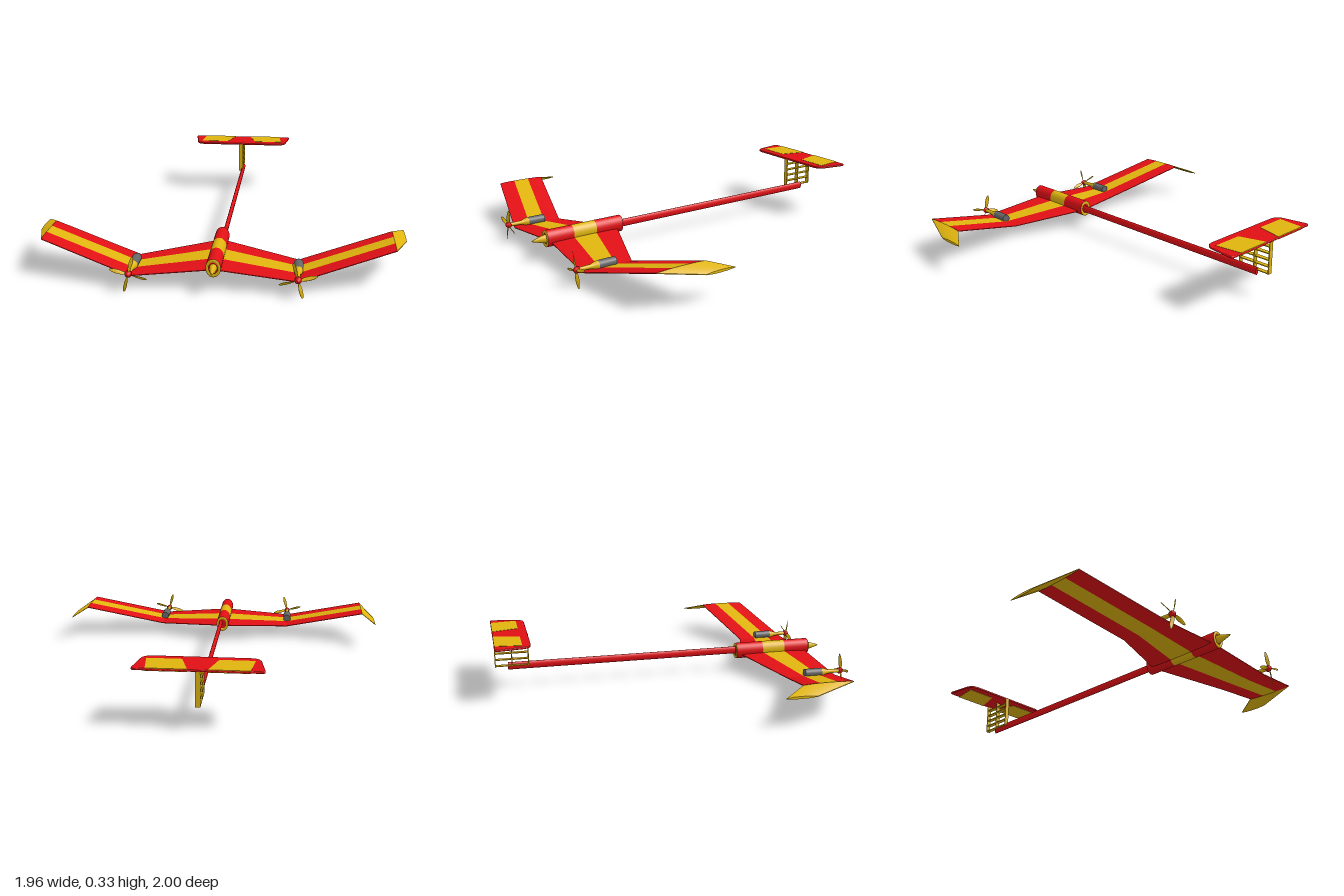
import * as THREE from 'three';

const material = (color) => new THREE.MeshStandardMaterial({ color, side: THREE.DoubleSide });
const red = material(0xe01015), yellow = material(0xdfb40e), grey = material(0x666666);

function add(parent, name, geometry, mat, x = 0, y = 0, z = 0) {
  const mesh = new THREE.Mesh(geometry, mat);
  mesh.name = name;
  mesh.position.set(x, y, z);
  parent.add(mesh);
  return mesh;
}

// Turned part along z; profile is [z, radius] from rear to front
function turned(profile, sides = 32) {
  const points = profile.map(([z, r]) => new THREE.Vector2(r, z));
  return new THREE.LatheGeometry(points, sides).rotateX(Math.PI / 2);
}

// Wing stations from root to tip: leading and trailing edge depth
const stations = [
  { x: 0, y: 0.112, le: 0.893, te: 0.475 },
  { x: 0.42, y: 0.073, le: 0.915, te: 0.63 },
  { x: 0.905, y: 0.203, le: 0.79, te: 0.51 },
  { x: 0.98, y: 0.168, le: 0.56, te: 0.39 },
];

// Thin lens-section panel between two stations, covering chord fractions f0..f1
function wingPanel(a, b, side, f0, f1) {
  const geometry = new THREE.BoxGeometry(1, 1, 1, 1, 1, 4);
  const p = geometry.attributes.position;
  const lerp = THREE.MathUtils.lerp;
  for (let i = 0; i < p.count; i++) {
    const u = 0.5 + side * p.getX(i);
    const f = lerp(f0, f1, p.getZ(i) + 0.5);
    const thickness = 0.004 + 0.01 * Math.sqrt(Math.max(0, 4 * f * (1 - f)));
    p.setXYZ(i,
      side * lerp(a.x, b.x, u),
      lerp(a.y, b.y, u) + p.getY(i) * thickness,
      lerp(lerp(a.te, b.te, u), lerp(a.le, b.le, u), f));
  }
  geometry.computeVertexNormals();
  return geometry;
}

function wing(side) {
  const group = new THREE.Group();
  group.name = side > 0 ? 'leftWing' : 'rightWing';
  for (let i = 0; i < 2; i++) {
    for (let k = 0; k < 3; k++) {
      add(group, k === 1 ? 'wingStripe' : 'wingPanel',
        wingPanel(stations[i], stations[i + 1], side, k / 3, (k + 1) / 3), k === 1 ? yellow : red);
    }
  }
  add(group, 'wingTip', wingPanel(stations[2], stations[3], side, 0, 1), yellow);
  return group;
}

// Twisted leaf-shaped propeller blade pointing up
function bladeGeometry(side) {
  const geometry = new THREE.SphereGeometry(1, 12, 12);
  const p = geometry.attributes.position;
  for (let i = 0; i < p.count; i++) {
    const t = (p.getY(i) + 1) / 2;
    const angle = side * (1.0 - 0.7 * t);
    const w = p.getX(i) * 0.011, d = p.getZ(i) * 0.002;
    p.setXYZ(i, w * Math.cos(angle) - d * Math.sin(angle), 0.008 + t * 0.089,
      w * Math.sin(angle) + d * Math.cos(angle));
  }
  geometry.computeVertexNormals();
  return geometry;
}

function engine(side) {
  const group = new THREE.Group();
  group.name = side > 0 ? 'leftEngine' : 'rightEngine';
  group.position.set(side * 0.42, 0.097, 0);
  add(group, 'motor', turned([[0.73, 0.024], [0.83, 0.024]]), grey);
  add(group, 'motorBack', turned([[0.73, 0], [0.73, 0.024]]), grey);
  add(group, 'motorCowl', turned([[0.83, 0.024], [0.845, 0.021], [0.87, 0.012], [0.945, 0.01]]), yellow);
  add(group, 'spinner', turned([[0.938, 0], [0.94, 0.018], [0.955, 0.017], [0.965, 0.009], [0.97, 0]]), red);
  const propeller = new THREE.Group();
  propeller.name = 'propeller';
  propeller.position.z = 0.954;
  propeller.rotation.z = side * 0.26;
  for (let i = 0; i < 4; i++) {
    add(propeller, 'blade', bladeGeometry(side), yellow).rotation.z = i * Math.PI / 2;
  }
  group.add(propeller);
  return group;
}

// Flat plate outlined in x and z, with its top face at the given height
function plate(shape, depth, top, bevel = 0) {
  return new THREE.ExtrudeGeometry(shape, {
    depth: depth - 2 * bevel, bevelEnabled: bevel > 0, bevelThickness: bevel,
    bevelSize: bevel, bevelOffset: -bevel, bevelSegments: 3, curveSegments: 8,
  }).rotateX(Math.PI / 2).translate(0, top - bevel, 0);
}

function tail() {
  const group = new THREE.Group();
  group.name = 'tail';
  // Horizontal stabiliser with rounded front corners
  const s = new THREE.Shape();
  s.moveTo(-0.31, -1);
  s.lineTo(0.31, -1);
  s.quadraticCurveTo(0.326, -1, 0.324, -0.98);
  s.lineTo(0.303, -0.85);
  s.quadraticCurveTo(0.295, -0.803, 0.24, -0.803);
  s.lineTo(-0.24, -0.803);
  s.quadraticCurveTo(-0.295, -0.803, -0.303, -0.85);
  s.lineTo(-0.324, -0.98);
  s.quadraticCurveTo(-0.326, -1, -0.31, -1);
  add(group, 'stabiliser', plate(s, 0.012, 0.329, 0.004), red);
  for (const side of [-1, 1]) {
    const panel = new THREE.Shape([[0.05, -0.999], [0.255, -0.999], [0.272, -0.85], [0.092, -0.85]]
      .map(([x, z]) => new THREE.Vector2(side * x, z)));
    add(group, 'stabiliserPanel', plate(panel, 0.015, 0.3305), yellow);
  }
  // Open ladder fin: three posts and five slats
  for (const z of [-0.803, -0.897, -0.992]) {
    add(group, 'finPost', new THREE.BoxGeometry(0.026, 0.186, 0.005), yellow, 0, 0.227, z);
  }
  for (let i = 0; i < 5; i++) {
    add(group, 'finSlat', new THREE.BoxGeometry(0.026, 0.005, 0.19), yellow, 0, 0.139 + i * 0.0372, -0.8975);
  }
  return group;
}

function fuselage() {
  const group = new THREE.Group();
  group.name = 'fuselage';
  group.position.y = 0.13;
  group.scale.x = 0.8;
  const r = 0.048;
  add(group, 'rearBody', turned([[0.453, r], [0.62, r]]), red);
  add(group, 'bodyBand', turned([[0.62, r], [0.76, r]]), yellow);
  add(group, 'frontBody', turned([[0.76, r], [0.916, r]]), red);
  add(group, 'rearRing', turned([[0.453, 0.03], [0.45, 0.034], [0.45, 0.044], [0.453, r]]), yellow);
  add(group, 'rearCap', turned([[0.455, 0], [0.455, 0.034]]), red);
  add(group, 'frontRing', turned([[0.916, r], [0.92, 0.044], [0.92, 0.032], [0.914, 0.03]]), yellow);
  add(group, 'frontCap', turned([[0.915, 0.034], [0.915, 0]]), red);
  add(group, 'noseCone', turned([[0.915, 0.024], [0.935, 0.021], [0.965, 0.012], [0.99, 0.005], [0.998, 0]]), yellow);
  return group;
}

export function createModel() {
  const model = new THREE.Group();
  model.name = 'airplane';
  model.add(fuselage(), tail());
  // Slender oval boom from body to tail
  const boom = add(model, 'tailBoom',
    new THREE.CylinderGeometry(0.022, 0.022, 1.39, 24).rotateX(Math.PI / 2), red, 0.011, 0.132, -0.225);
  boom.scale.x = 0.5;
  for (const side of [-1, 1]) model.add(wing(side), engine(side));
  return model;
}
